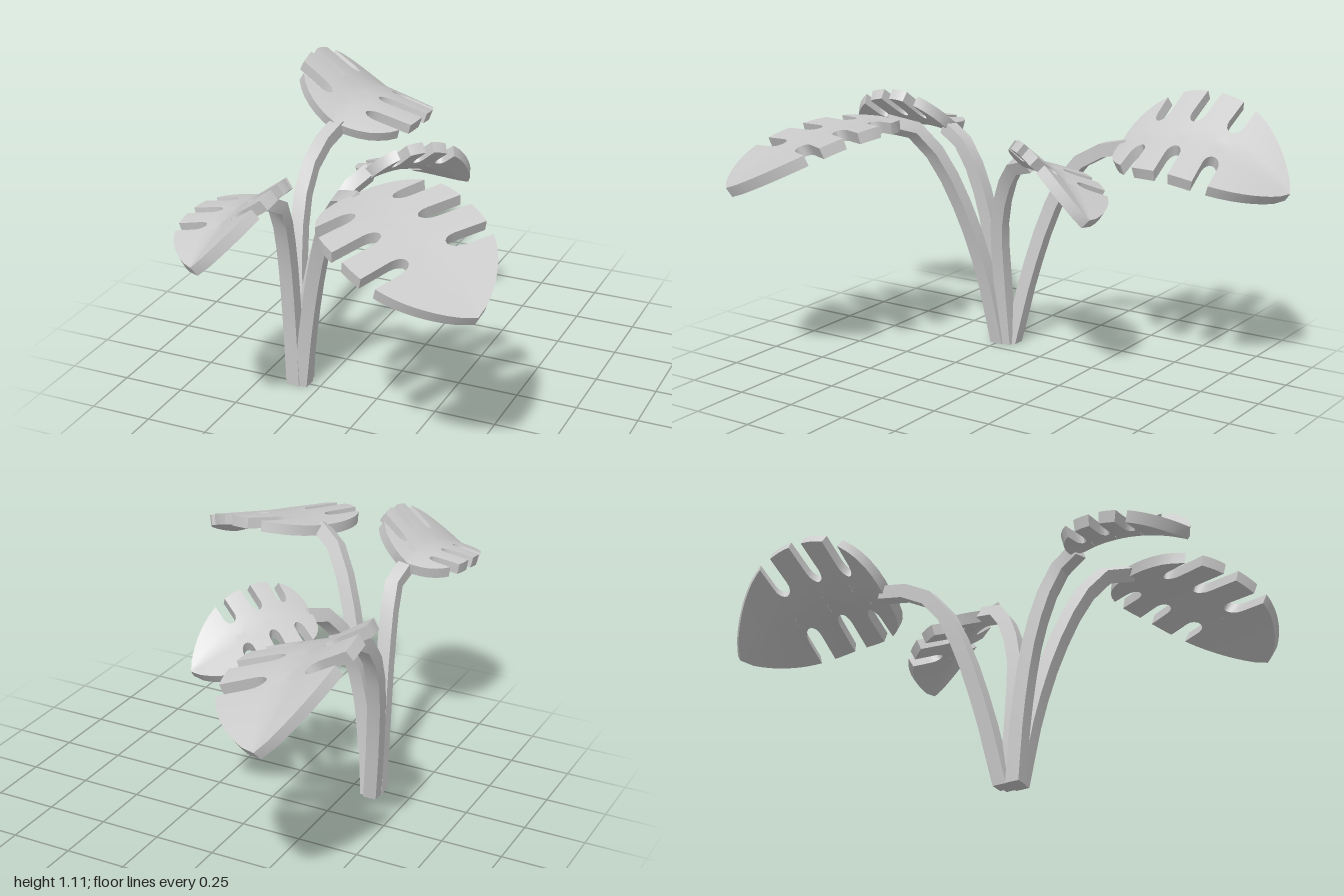
import * as THREE from 'three';
import { toCreasedNormals } from 'three/addons/utils/BufferGeometryUtils.js';

const THICKNESS = 0.045;
const SLOTS = [0.2, 0.42, 0.64];   // slot positions along the blade
const SLOT_HALF = 0.042;
const COLS = 4;                    // columns on each side of the midrib
const material = new THREE.MeshStandardMaterial({ color: 0xcccccc });

// Half width of the blade (0..1) at v along its length (0..1)
function halfWidth(v) {
  return v < 0.45
    ? Math.sqrt(Math.max(0, 1 - ((0.45 - v) / 0.45) ** 3))
    : Math.max(0, 1 - ((v - 0.45) / 0.55) ** 2.5) ** 0.75;
}

// Cross rows [v, reach]: the reach drops to a rounded inner end at each slot
function bladeRows() {
  const rows = [];
  const rim = (a, b, n, power = 1) => {
    for (let i = 0; i <= n; i++) {
      const v = a + (b - a) * (i / n) ** power;
      rows.push([v, halfWidth(v)]);
    }
  };
  let start = 0;
  for (const s of SLOTS) {
    rim(start, s - SLOT_HALF, 6, start ? 1 : 2);
    for (let i = 0; i <= 8; i++) {
      const t = -Math.cos(Math.PI * i / 8);
      rows.push([s + SLOT_HALF * t, 0.3 + 0.2 * (1 - Math.sqrt(Math.max(0, 1 - t * t)))]);
    }
    start = s + SLOT_HALF;
  }
  rim(start, 1, 12);
  return rows;
}

// Blade from base to tip; right/left are [half width, rise of the rim]
function makeLeaf({ base, tip, right, left, bulge }) {
  const b = new THREE.Vector3(...base), t = new THREE.Vector3(...tip);
  const drop = t.y - b.y;
  const forward = new THREE.Vector3(t.x - b.x, 0, t.z - b.z);
  const length = forward.length();
  forward.normalize();
  const across = new THREE.Vector3(-forward.z, 0, forward.x);

  // Top point and the underside point below it along the surface normal
  const point = (u, row) => {
    const [width, rise] = u > 0 ? right : left;
    const v = row - 0.05 * (1 - Math.abs(u)) * 4 * row * (1 - row);
    const top = b.clone().addScaledVector(forward, v * length).addScaledVector(across, u * width);
    top.y += drop * v + bulge * 4 * v * (1 - v) + rise * Math.abs(u);
    const slope = u === 0
      ? (right[1] / right[0] - left[1] / left[0]) / 2
      : Math.sign(u) * rise / width;
    const pitch = (drop + bulge * 4 * (1 - 2 * v)) / length;
    const normal = new THREE.Vector3(0, 1, 0)
      .addScaledVector(across, -slope).addScaledVector(forward, -pitch).normalize();
    return { top, under: top.clone().addScaledVector(normal, -THICKNESS) };
  };

  const rows = bladeRows();
  const grid = rows.map(([v, reach]) =>
    Array.from({ length: 2 * COLS + 1 }, (_, k) => point(reach * (k - COLS) / COLS, v)));
  const positions = [];
  const quad = (p, q, r, s) => {
    for (const c of [p, q, r, p, r, s]) positions.push(c.x, c.y, c.z);
  };
  for (let i = 0; i < rows.length - 1; i++) {
    const near = grid[i], far = grid[i + 1];
    if (rows[i + 1][0] - rows[i][0] > 1e-6) {
      for (let k = 0; k < 2 * COLS; k++) {
        quad(near[k].top, near[k + 1].top, far[k + 1].top, far[k].top);
        quad(near[k].under, far[k].under, far[k + 1].under, near[k + 1].under);
      }
    }
    // Rim walls
    const e = 2 * COLS;
    quad(near[e].under, far[e].under, far[e].top, near[e].top);
    quad(near[0].under, near[0].top, far[0].top, far[0].under);
  }
  const geo = new THREE.BufferGeometry();
  geo.setAttribute('position', new THREE.Float32BufferAttribute(positions, 3));
  const mesh = new THREE.Mesh(toCreasedNormals(geo, 0.7), material);
  mesh.name = 'leafBlade';
  return mesh;
}

// Square stem swept along a curve
function makeStem(points) {
  const r = 0.028;
  const square = new THREE.Shape([[-r, -r], [r, -r], [r, r], [-r, r]].map(p => new THREE.Vector2(...p)));
  const path = new THREE.CatmullRomCurve3(points.map(p => new THREE.Vector3(...p)));
  const geo = new THREE.ExtrudeGeometry(square, { steps: 9, extrudePath: path, bevelEnabled: false });
  // Level the foot with the ground
  const pos = geo.attributes.position;
  for (let i = 0; i < pos.count; i++) pos.setY(i, pos.getY(i) < 0.03 ? 0 : pos.getY(i));
  const mesh = new THREE.Mesh(toCreasedNormals(geo, 0.6), material);
  mesh.name = 'stem';
  return mesh;
}

const PLANTS = [
  { name: 'backLeaf',
    stem: [[-0.355, 0, 0.2], [-0.39, 0.3, 0.14], [-0.425, 0.6, 0.05], [-0.435, 0.78, -0.05], [-0.43, 0.87, -0.19], [-0.42, 0.9, -0.31]],
    leaf: { base: [-0.42, 0.92, -0.28], tip: [-0.46, 0.79, -1], right: [0.28, -0.09], left: [0.215, 0.14], bulge: 0.11 } },
  { name: 'leftLeaf',
    stem: [[-0.325, 0, 0.25], [-0.275, 0.3, 0.285], [-0.2, 0.6, 0.345], [-0.11, 0.84, 0.42], [-0.03, 0.95, 0.48], [0.06, 0.98, 0.54]],
    leaf: { base: [0.04, 1.0, 0.53], tip: [0.66, 0.79, 0.87], right: [0.29, -0.025], left: [0.28, 0.04], bulge: 0.06 } },
  { name: 'smallBackLeaf',
    stem: [[-0.335, 0, 0.215], [-0.31, 0.3, 0.225], [-0.27, 0.55, 0.21], [-0.23, 0.72, 0.15], [-0.18, 0.82, 0.07], [-0.15, 0.845, -0.02]],
    leaf: { base: [-0.16, 0.865, 0], tip: [0.11, 0.73, -0.445], right: [0.115, 0.1], left: [0.185, -0.065], bulge: 0.06 } },
  { name: 'frontLeaf',
    stem: [[-0.357, 0, 0.255], [-0.352, 0.3, 0.28], [-0.34, 0.6, 0.33], [-0.325, 0.8, 0.4], [-0.32, 0.88, 0.46], [-0.335, 0.9, 0.52]],
    leaf: { base: [-0.35, 0.92, 0.49], tip: [-0.375, 0.835, 1], right: [0.18, -0.03], left: [0.175, 0.13], bulge: 0.05 } },
];

export function createModel() {
  const model = new THREE.Group();
  model.name = 'slottedLeafPlant';
  for (const { name, stem, leaf } of PLANTS) {
    const group = new THREE.Group();
    group.name = name;
    group.add(makeStem(stem), makeLeaf(leaf));
    model.add(group);
  }
  return model;
}
